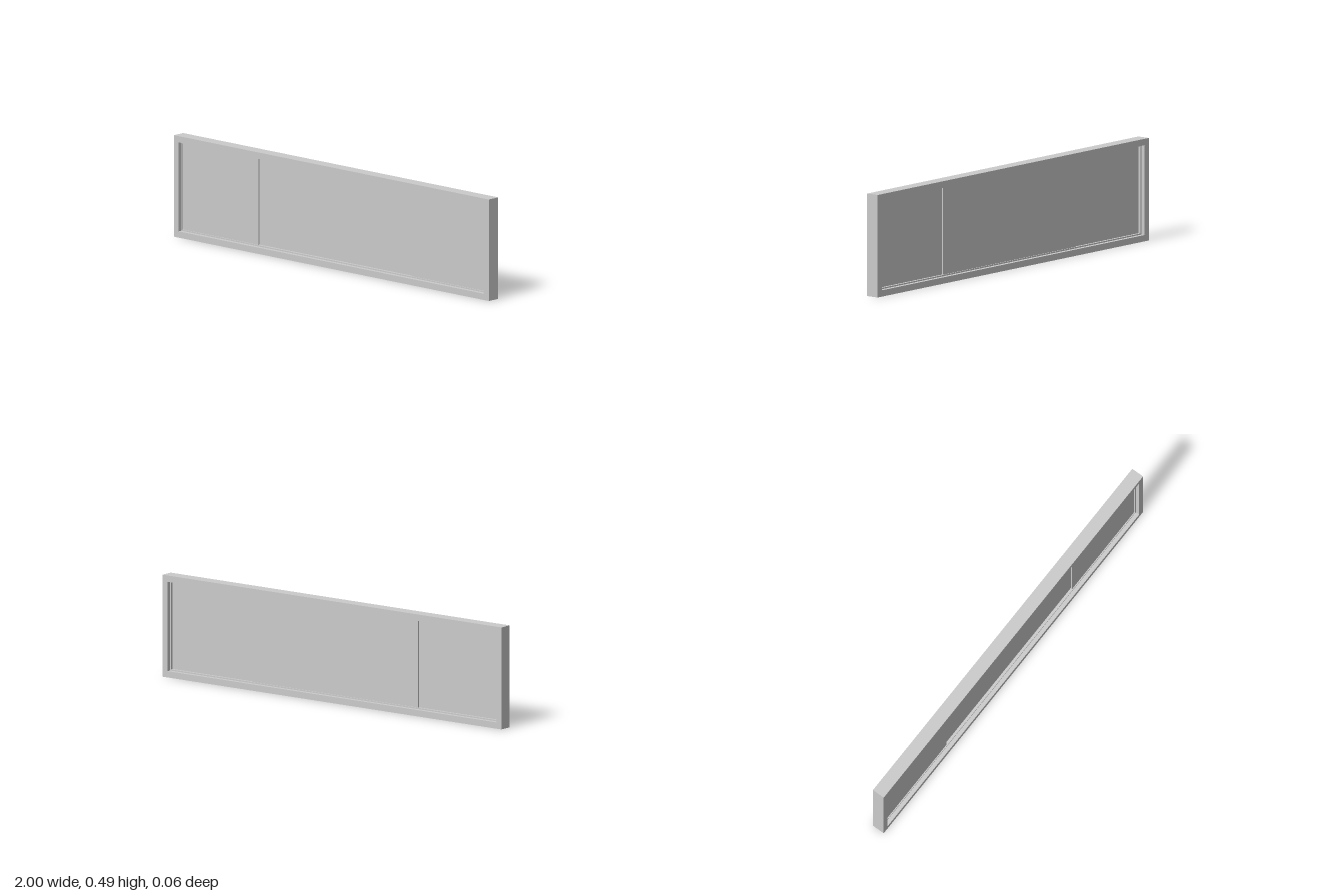
import * as THREE from 'three';

const W = 2, H = 0.485, D = 0.063, BORDER = 0.03;

export function createModel() {
  const model = new THREE.Group();
  const material = new THREE.MeshStandardMaterial({ color: 0xcccccc, flatShading: true });

  // Rectangular ring: outer edge at inset a, inner edge at inset b, centred in depth
  function ring(name, a, b, depth) {
    const shape = new THREE.Shape([
      new THREE.Vector2(-W / 2 + a, a), new THREE.Vector2(W / 2 - a, a),
      new THREE.Vector2(W / 2 - a, H - a), new THREE.Vector2(-W / 2 + a, H - a),
    ]);
    shape.holes.push(new THREE.Path([
      new THREE.Vector2(-W / 2 + b, b), new THREE.Vector2(-W / 2 + b, H - b),
      new THREE.Vector2(W / 2 - b, H - b), new THREE.Vector2(W / 2 - b, b),
    ]));
    const geometry = new THREE.ExtrudeGeometry(shape, { depth, bevelEnabled: false });
    geometry.translate(0, 0, -depth / 2);
    const mesh = new THREE.Mesh(geometry, material);
    mesh.name = name;
    model.add(mesh);
  }

  // Outer frame and the shallow track running round its inside
  ring('outerFrame', 0, BORDER, D);
  ring('track', BORDER, BORDER + 0.006, 0.024);

  // Four sliding panels: outer pair on the front track, middle pair on the back one
  function panel(name, x0, x1, z) {
    const geometry = new THREE.BoxGeometry(x1 - x0, H - 2 * BORDER, 0.006);
    const mesh = new THREE.Mesh(geometry, material);
    mesh.name = name;
    mesh.position.set((x0 + x1) / 2, H / 2, z);
    model.add(mesh);
  }
  const edge = W / 2 - BORDER;
  panel('rightOuterPanel', -edge, -0.485, 0.004);
  panel('rightMiddlePanel', -0.49, -0.0005, -0.004);
  panel('leftMiddlePanel', 0.0005, 0.49, -0.004);
  panel('leftOuterPanel', 0.485, edge, 0.004);

  return model;
}
